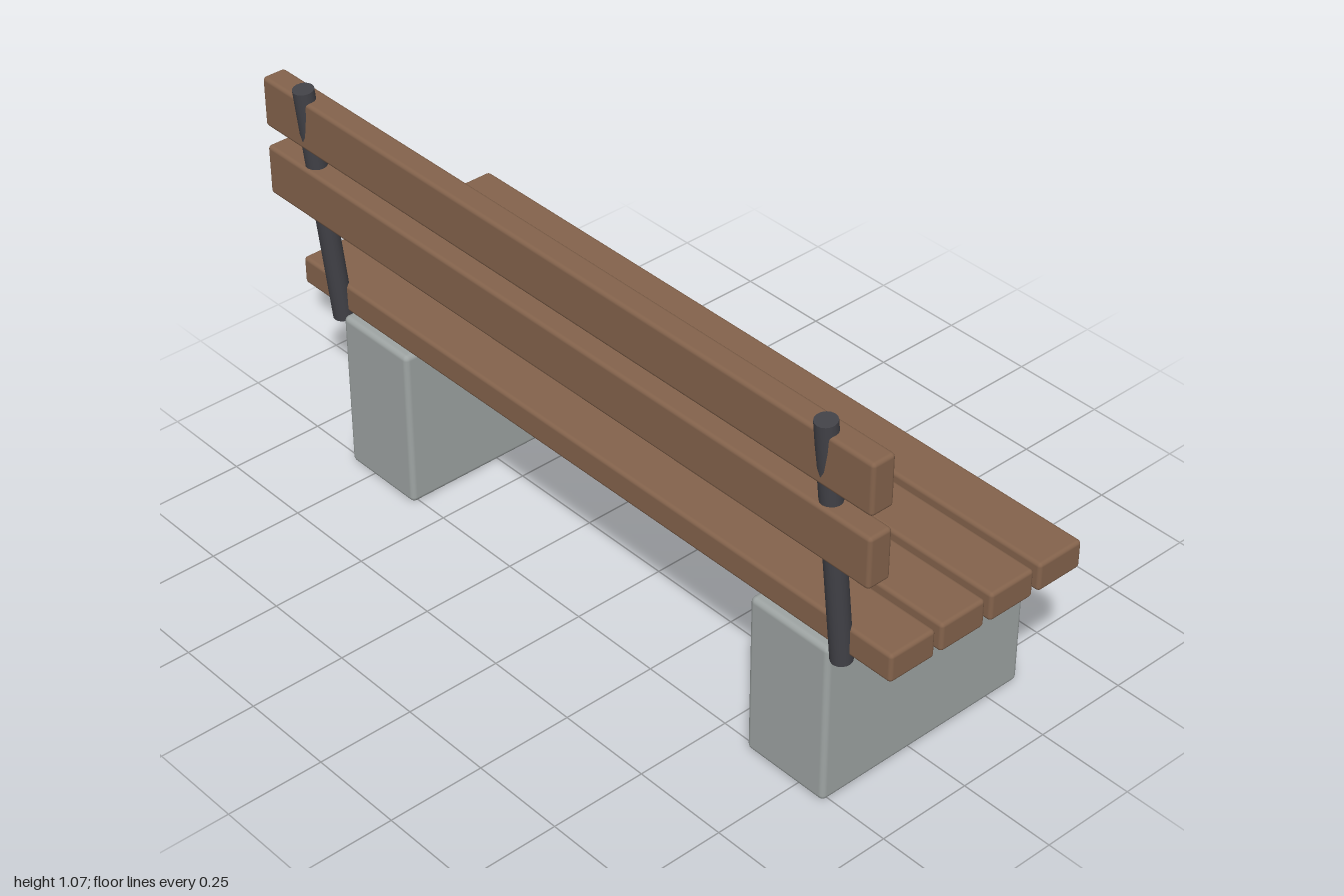
import * as THREE from 'three';
import { RoundedBoxGeometry } from 'three/addons/geometries/RoundedBoxGeometry.js';

export function createModel() {
  const bench = new THREE.Group();
  bench.name = 'bench';

  const material = (name, color) => {
    const m = new THREE.MeshStandardMaterial({ color });
    m.name = name;
    return m;
  };
  const wood = material('brown wood', 0x84634c);
  const concrete = material('grey concrete', 0x9ea4a3);
  const metal = material('dark metal', 0x424248);

  const add = (name, geometry, mat, x, y, z) => {
    const mesh = new THREE.Mesh(geometry, mat);
    mesh.name = name;
    mesh.position.set(x, y, z);
    bench.add(mesh);
    return mesh;
  };

  // Four seat planks with narrow gaps
  const seatPlank = new RoundedBoxGeometry(2, 0.075, 0.132, 2, 0.01);
  for (let i = 0; i < 4; i++) {
    add(`seatPlank${i + 1}`, seatPlank, wood, 0, 0.475, 0.189 - i * 0.1493);
  }

  // Two upright backrest planks
  const backPlank = new RoundedBoxGeometry(2, 0.132, 0.064, 2, 0.01);
  add('lowerBackPlank', backPlank, wood, 0, 0.794, 0.302);
  add('upperBackPlank', backPlank, wood, 0, 0.979, 0.302);

  // Concrete foot blocks and leaning backrest posts, mirrored left and right
  const block = new RoundedBoxGeometry(0.242, 0.432, 0.616, 2, 0.014);
  const bottom = new THREE.Vector3(0, 0.414, 0.251);
  const top = new THREE.Vector3(0, 1.071, 0.323);
  const lean = top.clone().sub(bottom);
  const post = new THREE.CylinderGeometry(0.026, 0.026, lean.length(), 16);
  for (const [side, s] of [['left', 1], ['right', -1]]) {
    add(`${side}FootBlock`, block, concrete, s * 0.711, 0.216, -0.038);
    const mesh = add(`${side}BackPost`, post, metal, s * 0.854, (bottom.y + top.y) / 2, (bottom.z + top.z) / 2);
    mesh.rotation.x = Math.atan2(lean.z, lean.y);
  }

  return bench;
}
